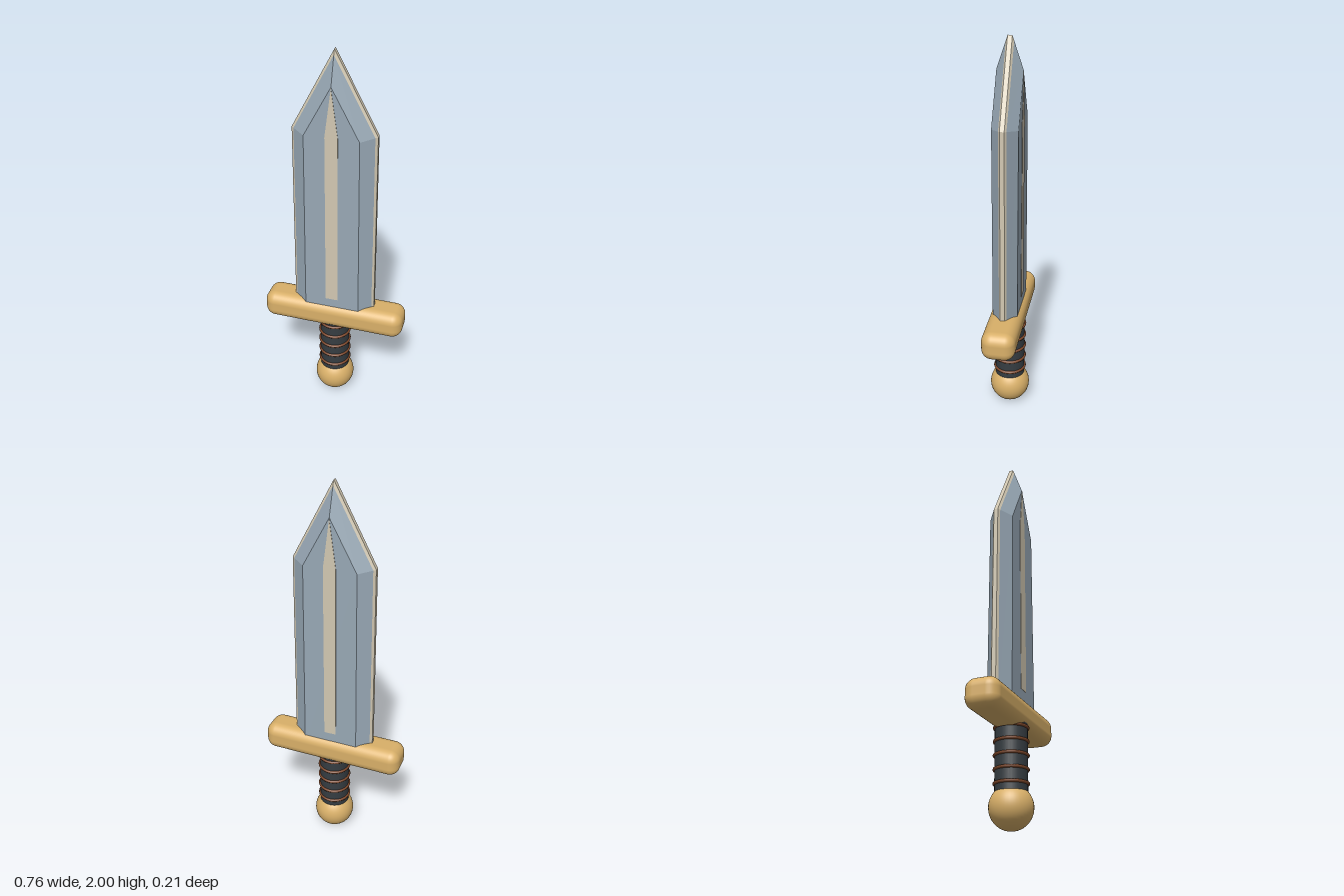
import * as THREE from 'three';
import { RoundedBoxGeometry } from 'three/addons/geometries/RoundedBoxGeometry.js';

const mat = (name, color, flatShading = false) => {
  const m = new THREE.MeshStandardMaterial({ color, flatShading });
  m.name = name;
  return m;
};

// Blade outline at bevel fraction t: 0 = flat face rim, 1 = outer edge
function outline(t, side) {
  const mix = (a, b) => a + (b - a) * t;
  const z = side * mix(0.064, 0.011);
  const base = mix(0.145, 0.218), shoulder = mix(0.135, 0.209);
  const shoulderY = mix(1.595, 1.608), tipY = mix(1.845, 2);
  return [
    [base, 0.55, z], [shoulder, shoulderY, z], [0, tipY, z],
    [-shoulder, shoulderY, z], [-base, 0.55, z],
  ];
}

// Strip of quads joining two outlines, facing away from the blade's middle
function band(inner, outer, out) {
  for (let i = 0; i < inner.length - 1; i++) {
    const a = inner[i], b = inner[i + 1], c = outer[i + 1], d = outer[i];
    out.push(a, d, c, a, c, b);
  }
}

// Filled polygon in front (side 1) or back (side -1) direction
function fan(points, side, out) {
  for (let i = 1; i < points.length - 1; i++) {
    const [p, q] = side > 0 ? [i, i + 1] : [i + 1, i];
    out.push(points[0], points[p], points[q]);
  }
}

function facets(triangles) {
  const g = new THREE.BufferGeometry();
  g.setAttribute('position', new THREE.Float32BufferAttribute(triangles.flat(), 3));
  g.computeVertexNormals();
  return g;
}

export function createModel() {
  const steel = mat('steel', 0x98a8b5, true);
  const honed = mat('pale edge', 0xd2c8b2, true);
  const gold = mat('gold', 0xd9b069);
  const leather = mat('dark leather', 0x363d42);
  const cord = mat('brown cord', 0x7c472a);

  const model = new THREE.Group();
  model.name = 'sword';
  const add = (name, geometry, material, y = 0) => {
    const mesh = new THREE.Mesh(geometry, material);
    mesh.name = name;
    mesh.position.y = y;
    model.add(mesh);
    return mesh;
  };

  // Blade faces and bevels in steel, honed rim in the pale colour
  const body = [], rim = [];
  const split = 0.84;
  for (const side of [1, -1]) {
    const [face, line, edge] = [0, split, 1].map((t) => outline(t, side));
    fan(face, side, body);
    const ordered = (pts) => (side > 0 ? pts : [...pts].reverse());
    band(ordered(face), ordered(line), body);
    band(ordered(line), ordered(edge), rim);
  }
  band(outline(1, 1), outline(1, -1), rim);
  add('blade', facets(body), steel);
  add('bladeEdge', facets(rim), honed);

  // Pale stripe down the middle of each face
  const stripe = new THREE.Shape([
    [-0.032, 0.665], [0.032, 0.665], [0.032, 1.6], [0, 1.84], [-0.032, 1.6],
  ].map(([x, y]) => new THREE.Vector2(x, y)));
  const plate = new THREE.ExtrudeGeometry(stripe, { depth: 0.004, bevelEnabled: false });
  add('frontStripe', plate, honed).position.z = 0.062;
  add('backStripe', plate, honed).position.z = -0.066;

  // Crossguard
  add('guard', new RoundedBoxGeometry(0.76, 0.15, 0.172, 5, 0.055), gold, 0.55);

  // Grip with cord rings
  add('grip', new THREE.CylinderGeometry(0.079, 0.079, 0.34, 32), leather, 0.33);
  const ring = new THREE.TorusGeometry(0.08, 0.008, 8, 40).rotateX(Math.PI / 2);
  for (let i = 0; i < 5; i++) add('gripRing', ring, cord, 0.214 + i * 0.067);

  // Pommel
  add('pommel', new THREE.SphereGeometry(0.106, 40, 28), gold, 0.106);

  return model;
}
